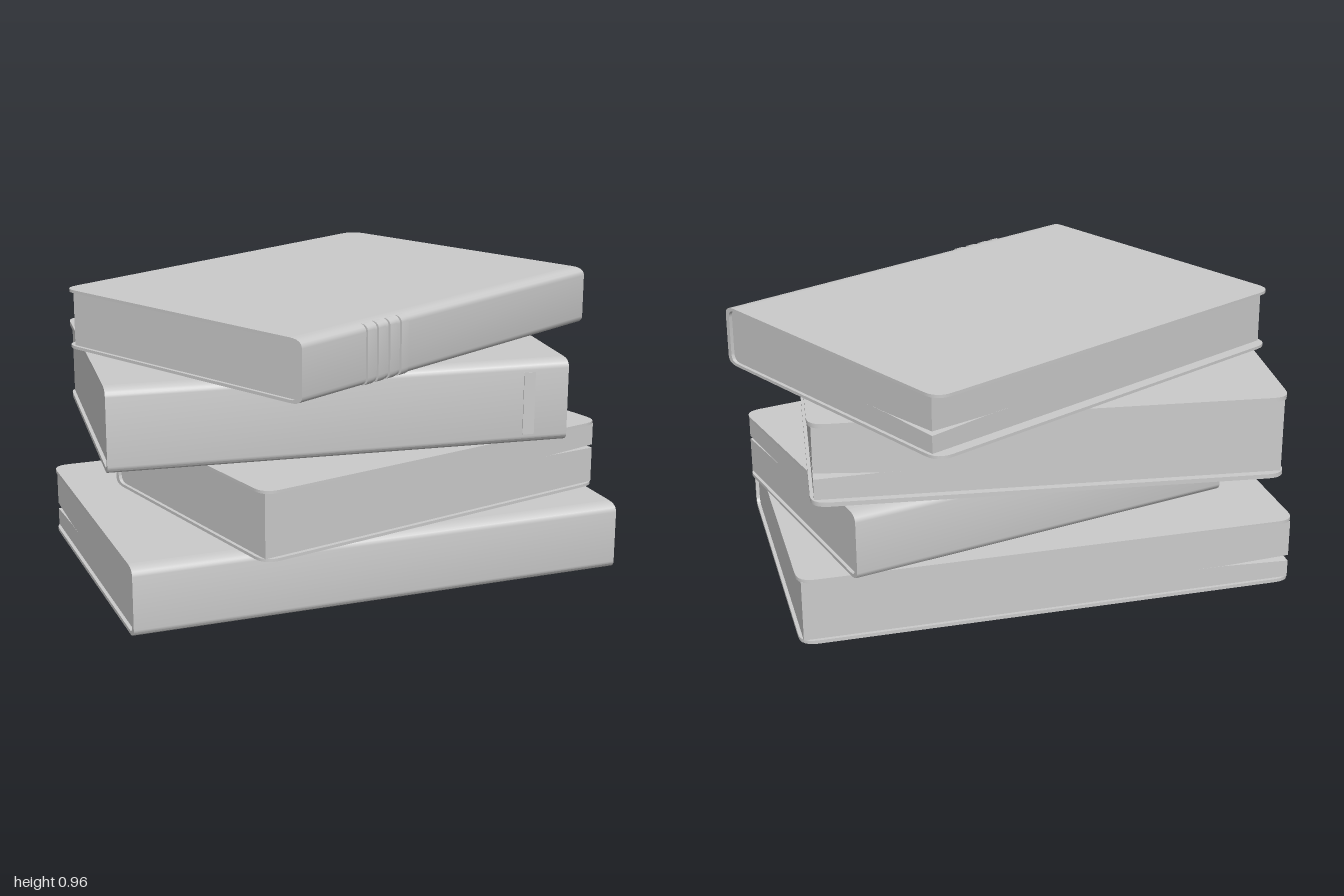
import * as THREE from 'three';
import { toCreasedNormals } from 'three/addons/utils/BufferGeometryUtils.js';

const grey = new THREE.MeshStandardMaterial({ color: 0xcccccc, side: THREE.DoubleSide });

function add(group, name, geometry, crease = 0.6) {
  const mesh = new THREE.Mesh(toCreasedNormals(geometry, crease), grey);
  mesh.name = name;
  group.add(mesh);
  return mesh;
}

// Flat board with two rounded corners on the open side
function boardGeometry(L, D, t, r, inset) {
  const x = L / 2, d = D / 2;
  const s = new THREE.Shape();
  s.moveTo(-x, -d + inset);
  s.lineTo(x, -d + inset);
  s.lineTo(x, d - r);
  s.quadraticCurveTo(x, d, x - r, d);
  s.lineTo(-x + r, d);
  s.quadraticCurveTo(-x, d, -x, d - r);
  s.closePath();
  return new THREE.ExtrudeGeometry(s, { depth: t, bevelEnabled: false, curveSegments: 6 }).rotateX(-Math.PI / 2);
}

// C-shaped spine section with soft shoulders, swept along the book
function spineGeometry(length, D, H, t, wide) {
  const u = -D / 2, r = 0.028, k = 0.018;
  const s = new THREE.Shape();
  s.moveTo(u + wide, 0);
  s.quadraticCurveTo(u, 0, u, r);
  s.lineTo(u, H - r);
  s.quadraticCurveTo(u, H, u + wide, H);
  s.lineTo(u + wide, H - t);
  s.quadraticCurveTo(u + k, H - t, u + k, H - r - t);
  s.lineTo(u + k, r + t);
  s.quadraticCurveTo(u + k, t, u + wide, t);
  s.closePath();
  return new THREE.ExtrudeGeometry(s, { depth: length, bevelEnabled: false, curveSegments: 6 })
    .rotateY(Math.PI / 2).translate(-length / 2, 0, 0);
}

// Part of the page block; one face bends away from the slit at an open corner
function pageGeometry(x0, x1, z0, z1, y0, y1, slit, lift) {
  const w = x1 - x0, d = z1 - z0;
  const geo = new THREE.BoxGeometry(w, y1 - y0, d, 14, 1, 10)
    .translate((x0 + x1) / 2, (y0 + y1) / 2, (z0 + z1) / 2);
  const p = geo.attributes.position;
  const cornerX = slit.side > 0 ? x1 : x0;
  const slitY = lift > 0 ? y0 : y1;
  for (let i = 0; i < p.count; i++) {
    if (Math.abs(p.getY(i) - slitY) > 1e-4) continue;
    const fade = 1 - Math.abs(p.getX(i) - cornerX) / slit.long - (p.getZ(i) - z0) / slit.deep;
    p.setY(i, p.getY(i) + lift * Math.max(0, fade));
  }
  return geo;
}

function makeBook({ name, L, D, y, H, t, x, z, turn, fore, slit }) {
  const book = new THREE.Group();
  book.name = name;
  const wide = 0.05;
  add(book, 'spine', spineGeometry(L, D, H, t, wide));
  add(book, 'bottomBoard', boardGeometry(L, D, t, 0.06, wide));
  add(book, 'topBoard', boardGeometry(L, D, t, 0.06, wide)).position.y = H - t;

  // Pages in two halves that part at a worn corner
  const ends = 0.012, x0 = -L / 2 + ends, x1 = L / 2 - ends;
  const z0 = -D / 2 + fore, z1 = D / 2 - 0.016, cut = slit.y - y;
  add(book, 'lowerPages', pageGeometry(x0, x1, z0, z1, t, cut, slit, -slit.gap / 2), 0.2);
  add(book, 'upperPages', pageGeometry(x0, x1, z0, z1, cut, H - t, slit, slit.gap / 2), 0.2);

  book.position.set(x, y, z);
  book.rotation.y = THREE.MathUtils.degToRad(turn);
  return book;
}

export function createModel() {
  const stack = new THREE.Group();
  stack.name = 'bookStack';

  const books = [
    { name: 'bottomBook', L: 1.717, D: 1.12, y: 0, H: 0.235, t: 0.012, x: 0.005, z: 0.033, turn: -21.7,
      fore: 0.012, slit: { side: -1, y: 0.083, long: 0.25, deep: 0.24, gap: 0.022 } },
    { name: 'secondBook', L: 1.404, D: 0.974, y: 0.235, H: 0.235, t: 0.01, x: 0.093, z: 0.1, turn: 172,
      fore: 0.015, slit: { side: -1, y: 0.375, long: 0.2, deep: 0.24, gap: 0.012 } },
    { name: 'thirdBook', L: 1.557, D: 1.04, y: 0.47, H: 0.285, t: 0.015, x: 0.007, z: -0.068, turn: -28.4,
      fore: 0.025, slit: { side: 1, y: 0.567, long: 0.22, deep: 0.25, gap: 0.022 } },
    { name: 'topBook', L: 1.491, D: 1.11, y: 0.76, H: 0.205, t: 0.01, x: 0.085, z: -0.025, turn: 5,
      fore: 0.04, slit: { side: 1, y: 0.835, long: 0.22, deep: 0.23, gap: 0.015 } },
  ].map(makeBook);
  stack.add(...books);

  // Raised bands across the top book's spine
  for (const bx of [-0.435, -0.383, -0.327, -0.271]) {
    add(books[3], 'spineBand', spineGeometry(0.034, 1.11 + 0.016, 0.199, 0.01, 0.03))
      .position.set(bx, 0.003, 0);
  }

  // Thin raised strip near the end of the third book's spine
  add(books[2], 'spineStrip', new THREE.BoxGeometry(0.04, 0.215, 0.006)).position.set(0.64, 0.1425, 0.52);

  return stack;
}
